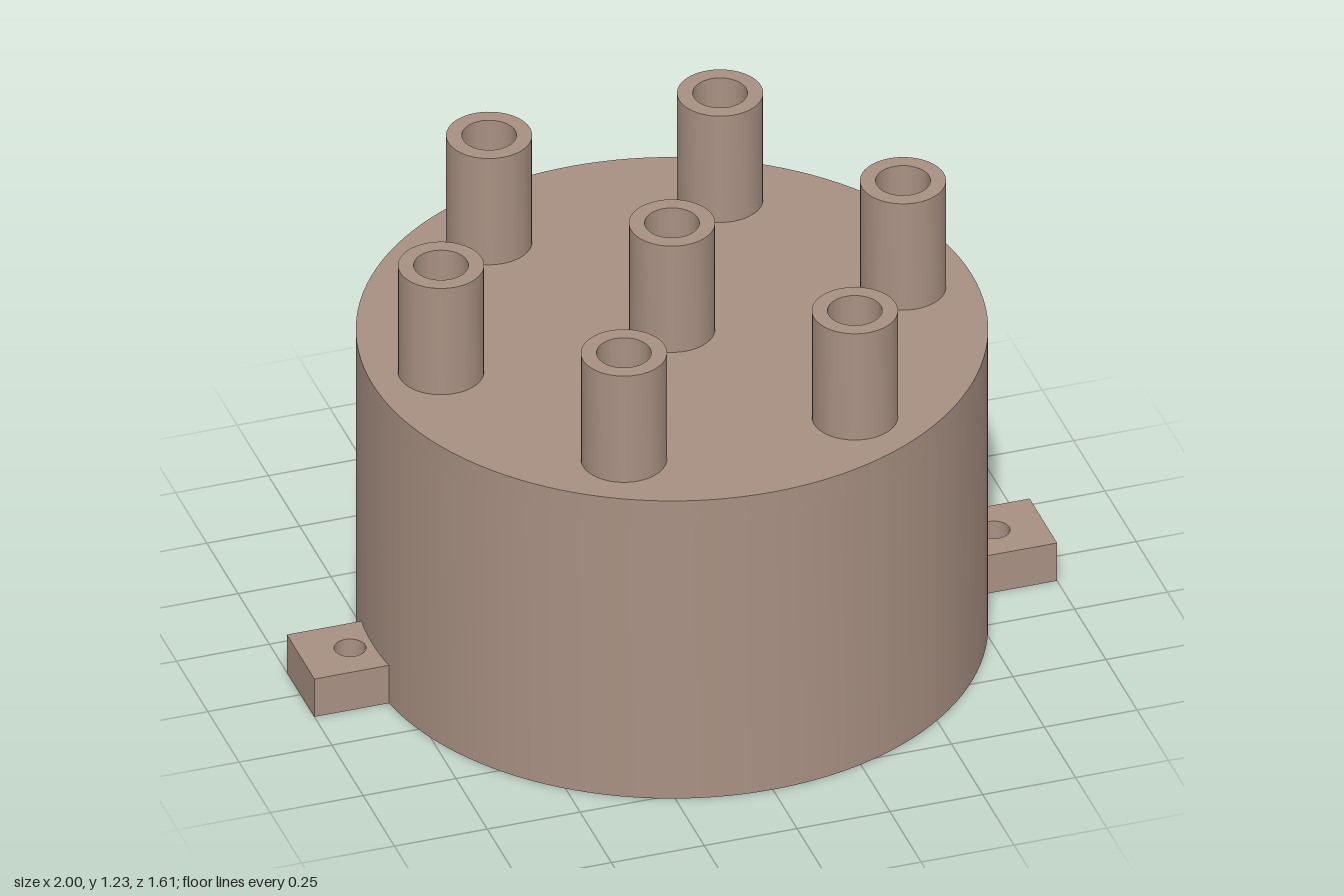
import * as THREE from 'three';
import { toCreasedNormals } from 'three/addons/utils/BufferGeometryUtils.js';

const BODY_R = 0.807, CAVITY_R = 0.737, BODY_TOP = 0.905, CEILING = 0.835;
const TOWER_R = 0.11, TOWER_TOP = 1.228, BORE_R = 0.07, HOLE_R = 0.06;

const material = new THREE.MeshStandardMaterial({ color: 0xa89082 });

function circle(PathType, radius, x = 0, y = 0) {
  return new PathType().absarc(x, y, radius, 0, Math.PI * 2, false);
}

// Extrude a plan outline upward from y0 to y1
function slab(name, shape, y0, y1, segments) {
  const flat = new THREE.ExtrudeGeometry(shape, {
    depth: y1 - y0, bevelEnabled: false, curveSegments: segments,
  });
  flat.rotateX(-Math.PI / 2).translate(0, y0, 0);
  const mesh = new THREE.Mesh(toCreasedNormals(flat, 0.5), material);
  mesh.name = name;
  return mesh;
}

export function createModel() {
  const group = new THREE.Group();
  group.name = 'cap';

  // Tower positions: one in the middle, six around it
  const spots = [[0, 0]];
  for (let i = 0; i < 6; i++) {
    const a = (i * Math.PI) / 3;
    spots.push([0.622 * Math.cos(a), 0.622 * Math.sin(a)]);
  }

  // Hollow body, open underneath
  const wall = circle(THREE.Shape, BODY_R);
  wall.holes.push(circle(THREE.Path, CAVITY_R));
  group.add(slab('bodyWall', wall, 0, CEILING, 64));

  // Top plate pierced under every tower
  const plate = circle(THREE.Shape, BODY_R);
  for (const [x, y] of spots) plate.holes.push(circle(THREE.Path, HOLE_R, x, y));
  group.add(slab('topPlate', plate, CEILING, BODY_TOP, 64));

  // Tubular towers with a wider bore than the plate holes
  const ring = circle(THREE.Shape, TOWER_R);
  ring.holes.push(circle(THREE.Path, BORE_R));
  for (const [x, z] of spots) {
    const tower = slab('tower', ring, BODY_TOP, TOWER_TOP, 24);
    tower.position.set(x, 0, z);
    group.add(tower);
  }

  // Mounting tabs with screw holes, fitted to the curve of the body
  const half = Math.asin(0.11 / BODY_R);
  const tab = new THREE.Shape();
  tab.moveTo(1, -0.11);
  tab.lineTo(1, 0.11);
  tab.absarc(0, 0, BODY_R - 0.001, half, -half, true);
  tab.closePath();
  tab.holes.push(circle(THREE.Path, 0.041, 0.867, 0));
  for (const [name, turn] of [['leftTab', 0], ['rightTab', Math.PI]]) {
    const mesh = slab(name, tab, 0, 0.115, 20);
    mesh.rotation.y = turn;
    group.add(mesh);
  }

  return group;
}
